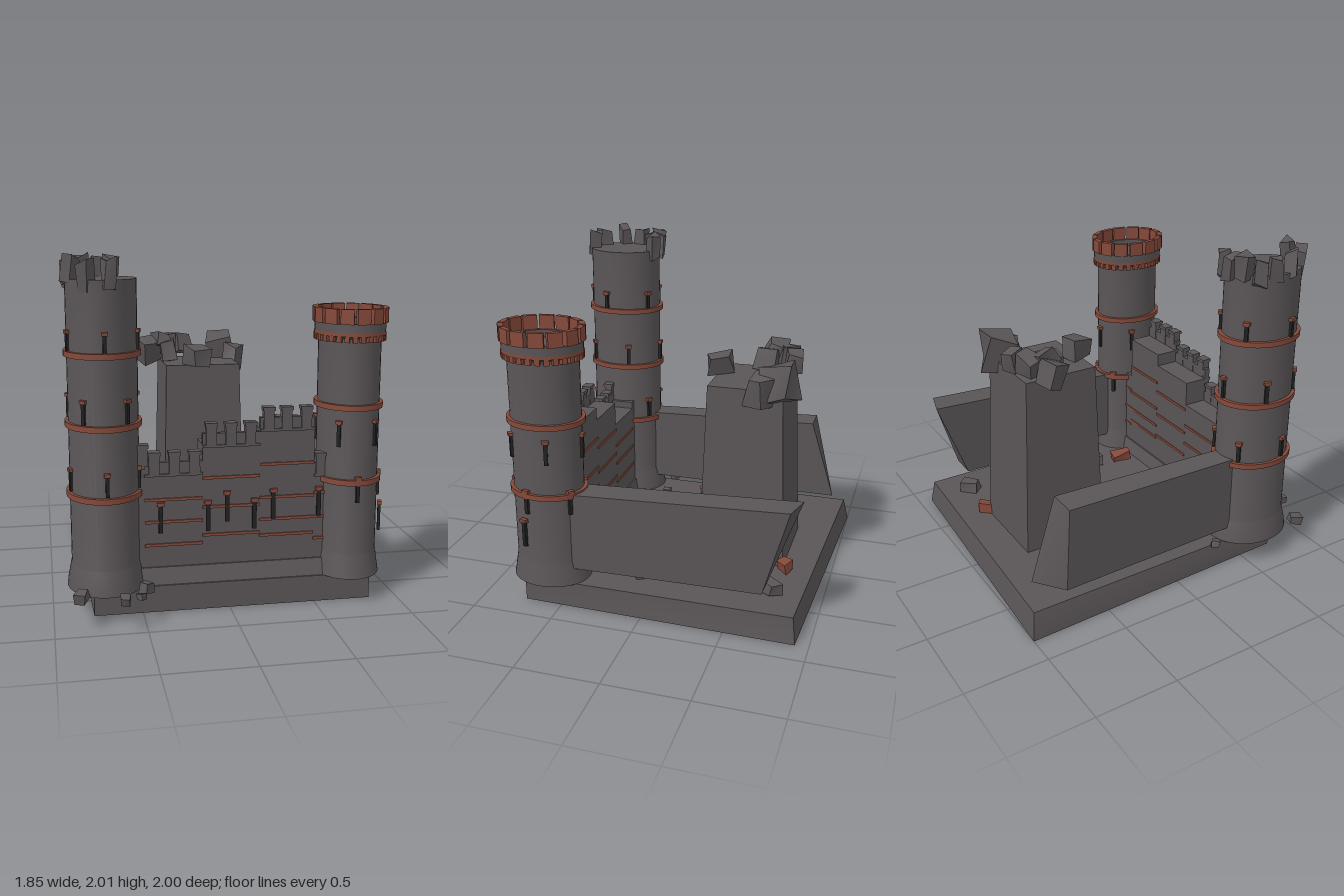
import * as THREE from 'three';
import { toCreasedNormals } from 'three/addons/utils/BufferGeometryUtils.js';

const mat = (name, color) => Object.assign(new THREE.MeshStandardMaterial({ color }), { name });

export function createModel() {
  const stone = mat('stone', 0x5a5557);
  const brick = mat('brick', 0x85493a);
  const dark = mat('slit', 0x222122);
  const model = new THREE.Group();
  model.name = 'ruinedCastle';

  let seed = 7;
  const rnd = () => {
    seed = (seed * 16807) % 2147483647;
    return seed / 2147483647 - 0.5;
  };
  const group = (name, parent = model) => {
    const g = new THREE.Group();
    g.name = name;
    parent.add(g);
    return g;
  };
  const add = (parent, name, geo, m) => {
    const mesh = new THREE.Mesh(geo, m);
    mesh.name = name;
    parent.add(mesh);
    return mesh;
  };
  // Six-sided solid whose corners come from a rule on the signs of a unit box
  const hexa = (parent, name, m, rule) => {
    const geo = new THREE.BoxGeometry(1, 1, 1);
    const p = geo.attributes.position;
    for (let i = 0; i < p.count; i++) p.setXYZ(i, ...rule(p.getX(i) > 0, p.getY(i) > 0, p.getZ(i) > 0));
    geo.computeVertexNormals();
    return add(parent, name, geo, m);
  };
  // Box given by its limits
  const block = (parent, name, m, x0, x1, y0, y1, z0, z1) =>
    hexa(parent, name, m, (r, t, f) => [r ? x1 : x0, t ? y1 : y0, f ? z1 : z0]);
  // Broken stone: box with shifted corners and a tilt
  const rubble = (parent, name, m, x, y, z, w, h, d, tilt = 0.5) => {
    const k = Array.from({ length: 8 }, () => [rnd(), rnd(), rnd()]);
    const mesh = hexa(parent, name, m, (r, t, f) => {
      const j = k[(r ? 1 : 0) + (t ? 2 : 0) + (f ? 4 : 0)];
      return [w * ((r ? 0.5 : -0.5) + j[0] * 0.3), h * ((t ? 0.5 : -0.5) + j[1] * 0.3), d * ((f ? 0.5 : -0.5) + j[2] * 0.3)];
    });
    mesh.position.set(x, y, z);
    mesh.rotation.set(rnd() * tilt, rnd() * 1.6, rnd() * tilt);
  };

  // Ground slab
  hexa(model, 'groundSlab', stone, (r, t, f) => {
    if (f) return [r ? 0.835 : -0.775, t ? 0.155 : 0, 0.73];
    return r ? [t ? 0.83 : 0.86, t ? 0.155 : 0, t ? -0.9 : -0.92] : [t ? -0.785 : -0.83, t ? 0.155 : 0, t ? -0.97 : -1];
  });

  // Broken side walls
  hexa(model, 'leftSideWall', stone, (r, t, f) => [
    r ? 0.825 : 0.655, t ? (f ? 0.725 : 0.79) : (f ? 0.25 : 0.27),
    f ? 0.5 : t ? (r ? -0.86 : -0.905) : -0.715]);
  hexa(model, 'rightSideWall', stone, (r, t, f) => [
    r ? -0.635 : (f ? -0.78 : -0.81), t ? (f ? 0.72 : 0.76) : 0.245,
    f ? 0.5 : t ? -0.745 : (r ? -0.905 : -0.77)]);

  // Keep with a crumbled top
  const keep = group('keep');
  hexa(keep, 'keepBody', stone, (r, t, f) => [
    r ? (t ? 0.25 : 0.28) : (t ? -0.23 : -0.255), t ? 1.27 : 0.155,
    f ? (t ? -0.235 : -0.2) : (t ? -0.69 : -0.735)]);
  [
    [-0.31, 1.33, -0.57, 0.12, 0.15, 0.12], [-0.2, 1.37, -0.65, 0.14, 0.13, 0.12],
    [-0.18, 1.33, -0.51, 0.11, 0.13, 0.13], [-0.22, 1.4, -0.56, 0.1, 0.08, 0.12],
    [-0.07, 1.36, -0.69, 0.1, 0.13, 0.1], [-0.03, 1.32, -0.24, 0.12, 0.12, 0.14],
    [0.2, 1.31, -0.66, 0.17, 0.21, 0.18], [0.27, 1.27, -0.55, 0.1, 0.17, 0.13],
  ].forEach(a => rubble(keep, 'keepStone', stone, ...a));

  // Arrow slit with its lintel, facing +z at the origin
  const slit = (parent, x, y0, y1, z, angle = 0) => {
    const g = group('arrowSlit', parent);
    block(g, 'slitOpening', dark, -0.012, 0.012, y0, y1 - 0.02, -0.012, 0.008);
    block(g, 'slitLintel', brick, -0.021, 0.021, y1 - 0.02, y1, -0.015, 0.015);
    g.position.set(x, 0, z);
    g.rotation.y = angle;
  };

  // Front wall in stepped sections: [x0, x1, ledge height, stripe heights, merlon centres]
  const wall = group('frontWall');
  [
    [-0.6, -0.48, 0.84, [], [-0.49]],
    [-0.48, -0.15, 0.795, [0.645, 0.515, 0.38], [-0.425, -0.31, -0.195]],
    [-0.15, 0.18, 0.95, [0.76, 0.59, 0.425], [-0.1, 0.012, 0.125]],
    [0.18, 0.5, 1.03, [0.825, 0.63, 0.5, 0.405], [0.23, 0.335, 0.45]],
    [0.5, 0.62, 0.755, [0.645, 0.5, 0.37], [0.54]],
  ].forEach(([x0, x1, h, stripes, merlons]) => {
    block(wall, 'wallBody', stone, x0, x1, 0.2, h, 0.5, 0.68);
    block(wall, 'parapet', stone, x0, x1, h, h + 0.065, 0.645, 0.68);
    block(wall, 'ledge', stone, x0, x1, h - 0.015, h, 0.64, 0.69);
    for (const y of stripes) block(wall, 'brickStripe', brick, x0, x1, y - 0.008, y + 0.008, 0.494, 0.688);
    for (const x of merlons) {
      block(wall, 'merlon', stone, x - 0.03, x + 0.03, h, h + 0.11, 0.643, 0.69);
      block(wall, 'merlonCap', stone, x - 0.035, x + 0.035, h + 0.105, h + 0.125, 0.637, 0.697);
    }
  });
  hexa(wall, 'wallFooting', stone, (r, t, f) => [r ? 0.6 : -0.55, t ? 0.25 : 0.155, f ? (t ? 0.69 : 0.72) : (t ? 0.49 : 0.47)]);
  for (const [x, y] of [[-0.39, 0.45], [-0.12, 0.45], [-0.01, 0.5], [0.15, 0.45], [0.26, 0.5], [0.53, 0.5]])
    slit(wall, x, y, y + 0.18, 0.684);

  // Round towers, slightly narrow in x
  const tower = (name, x, z, profile, r, rings, slitRows) => {
    const g = group(name);
    g.position.set(x, 0, z);
    g.scale.x = 0.835;
    const pts = profile.map(p => new THREE.Vector2(...p));
    add(g, 'towerBody', toCreasedNormals(new THREE.LatheGeometry(pts, 40), 0.4), stone);
    for (const y of rings) add(g, 'brickRing', new THREE.CylinderGeometry(r + 0.022, r + 0.022, 0.032, 40), brick).position.y = y;
    // Five slits per level, turned half a step on alternate levels
    for (const [y0, y1, turn] of slitRows) for (let i = 0; i < 5; i++) {
      const a = (i + turn) * Math.PI * 0.4;
      slit(g, Math.sin(a) * (r + 0.008), y0, y1, Math.cos(a) * (r + 0.008), a);
    }
    return g;
  };

  const tall = tower('rightTower', -0.695, 0.6,
    [[0, 0.155], [0.265, 0.155], [0.26, 0.19], [0.236, 0.29], [0.233, 0.3], [0.233, 1.88], [0, 1.88]],
    0.233, [0.695, 1.09, 1.48], [[0.72, 0.85, 0], [1.11, 1.245, 0.5], [1.48, 1.61, 0]]);
  const low = tower('leftTower', 0.72, 0.595,
    [[0, 0.155], [0.237, 0.155], [0.23, 0.19], [0.213, 0.29], [0.211, 0.3], [0.211, 1.54], [0.232, 1.56],
      [0.238, 1.565], [0.238, 1.625], [0.2, 1.625], [0.2, 1.58], [0, 1.58]],
    0.211, [0.725, 1.155], [[0.61, 0.76, 0], [0.93, 1.08, 0.5]]);
  slit(low, 0.215, 0.4, 0.575, 0.09, 1.2);

  // Brick crown: corbels, band and merlons
  add(low, 'crownBand', new THREE.CylinderGeometry(0.24, 0.24, 0.02, 40, 1, true), brick).position.y = 1.565;
  const spread = (count, name, r, y, w, h, d) => {
    for (let i = 0; i < count; i++) {
      const a = (i / count) * Math.PI * 2;
      const m = add(low, name, new THREE.BoxGeometry(w, h, d), brick);
      m.position.set(Math.sin(a) * r, y, Math.cos(a) * r);
      m.rotation.y = a;
    }
  };
  spread(28, 'corbel', 0.224, 1.54, 0.032, 0.035, 0.035);
  spread(14, 'crownMerlon', 0.232, 1.665, 0.088, 0.085, 0.034);

  // Broken battlement on the tall tower
  [[-0.62, 0.38], [-0.7, 0.37], [-0.785, 0.385], [-0.85, 0.45], [-0.87, 0.54], [-0.86, 0.66], [-0.78, 0.78], [-0.665, 0.81]]
    .forEach(([x, z], i) => rubble(model, 'brokenMerlon', stone, x, 1.905 + (i % 3) * 0.008, z, 0.065, 0.15, 0.075, 0.35));

  // Fallen stones
  [
    [-0.48, -0.21, 0.07], [-0.53, 0.26, 0.045], [-0.39, 0.42, 0.07], [0.34, -0.06, 0.07], [0.54, -0.05, 0.09],
    [0.6, -0.73, 0.09], [0.45, 0.17, 0.08], [0.64, 0.06, 0.07], [-0.8, 0.28, 0.05], [-0.85, 0.88, 0.06],
    [-0.62, 0.96, 0.055], [-0.53, 0.92, 0.045], [-0.49, 0.81, 0.065],
  ].forEach(([x, z, s]) => rubble(model, 'fallenStone', stone, x, 0.155 + s * 0.42, z, s * 0.9, s * 0.8, s * 1.1));
  [[-0.61, -0.03, 0.06, 0.11], [0.43, 0.38, 0.065, 0.13], [0.31, -0.75, 0.07, 0.09], [0.31, -0.5, 0.07, 0.09]]
    .forEach(([x, z, w, d]) => rubble(model, 'fallenBrick', brick, x, 0.185, z, w, 0.06, d, 0.3));

  return model;
}
